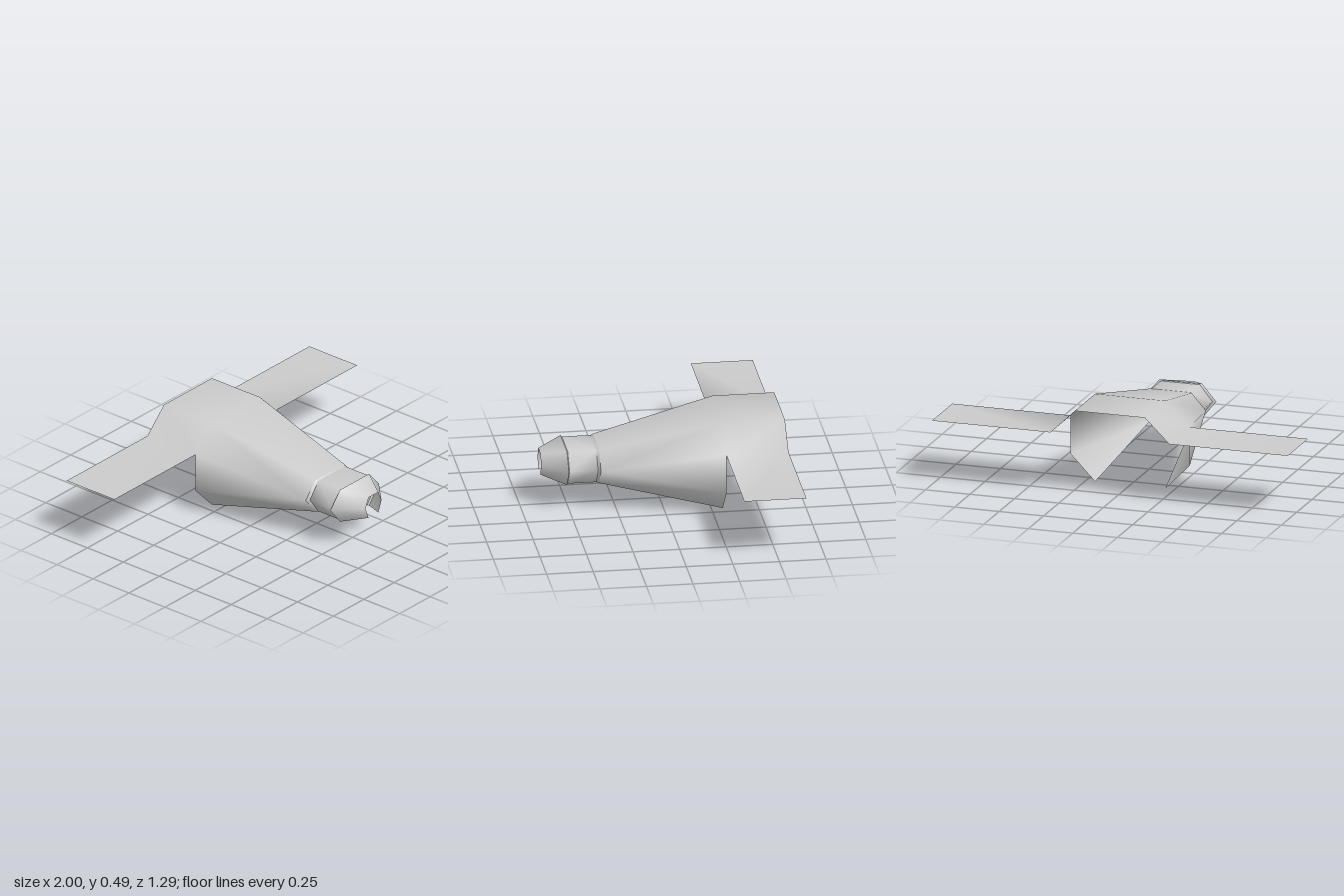
import * as THREE from 'three';
import { mergeVertices } from 'three/addons/utils/BufferGeometryUtils.js';

const material = new THREE.MeshStandardMaterial({ color: 0xcccccc, side: THREE.DoubleSide });

// Mirrors a half outline (centre to +x rim) into a full strip running from -x to +x.
function section(z, half) {
  const right = half.map(([x, y]) => [x, y, z]);
  const left = right.map(([x, y]) => [-x, y, z]).reverse();
  return [...left, ...right];
}

// Skins two neighbouring sections, with diagonals mirrored about the centre.
function skin(front, rear) {
  const out = [];
  const last = front.length - 1;
  for (let i = 0; i < last; i++) {
    const a = front[i], b = front[i + 1], c = rear[i + 1], d = rear[i];
    const corners = i < last / 2 ? [a, b, c, a, c, d] : [a, b, d, b, c, d];
    // Skip triangles that collapse where a section has a doubled point
    for (let k = 0; k < 6; k += 3) {
      const tri = corners.slice(k, k + 3);
      if (new Set(tri.map(String)).size === 3) out.push(...tri.flat());
    }
  }
  return out;
}

// Joins strips into one smoothly shaded open shell.
function shell(name, pairs) {
  let geometry = new THREE.BufferGeometry();
  const points = pairs.flatMap(([front, rear]) => skin(front, rear));
  geometry.setAttribute('position', new THREE.Float32BufferAttribute(points, 3));
  geometry = mergeVertices(geometry);
  geometry.computeVertexNormals();
  const mesh = new THREE.Mesh(geometry, material);
  mesh.name = name;
  return mesh;
}

export function createModel() {
  const group = new THREE.Group();
  group.name = 'glider';

  // Half outlines, from roof edge down to the open underside
  const shoulder = [[0.12, 0.34], [0.2, 0.25], [0.2, 0.25], [0.12, 0.153]];
  const tail = [[0.197, 0.49], [0.334, 0.357], [0.334, 0.142], [0.197, 0.003]];
  const wing = [[0.197, 0.49], [0.334, 0.357], [1, 0.357]];
  const neck = [[0.11, 0.337], [0.18, 0.25], [0.11, 0.155]];
  const collar = [[0.12, 0.342], [0.2, 0.25], [0.12, 0.151]];
  const tip = [[0.04, 0.308], [0.066, 0.25], [0.04, 0.186]];

  // Widening body, whose roof runs back and out into the flat wings
  group.add(shell('bodyAndWings', [
    [section(0.342, shoulder), section(-0.312, tail)],
    [section(-0.312, wing), section(-0.645, wing)],
  ]));

  // Bevel between body and neck
  const shoulderRim = [shoulder[0], shoulder[1], shoulder[3]];
  group.add(shell('shoulderBevel', [[section(0.355, neck), section(0.342, shoulderRim)]]));

  // Neck
  group.add(shell('neck', [[section(0.508, neck), section(0.355, neck)]]));

  // Step out from the neck to the base of the nose
  group.add(shell('noseCollar', [[section(0.514, collar), section(0.508, neck)]]));

  // Tapered nose, open at the tip
  group.add(shell('nose', [[section(0.645, tip), section(0.514, collar)]]));

  return group;
}
